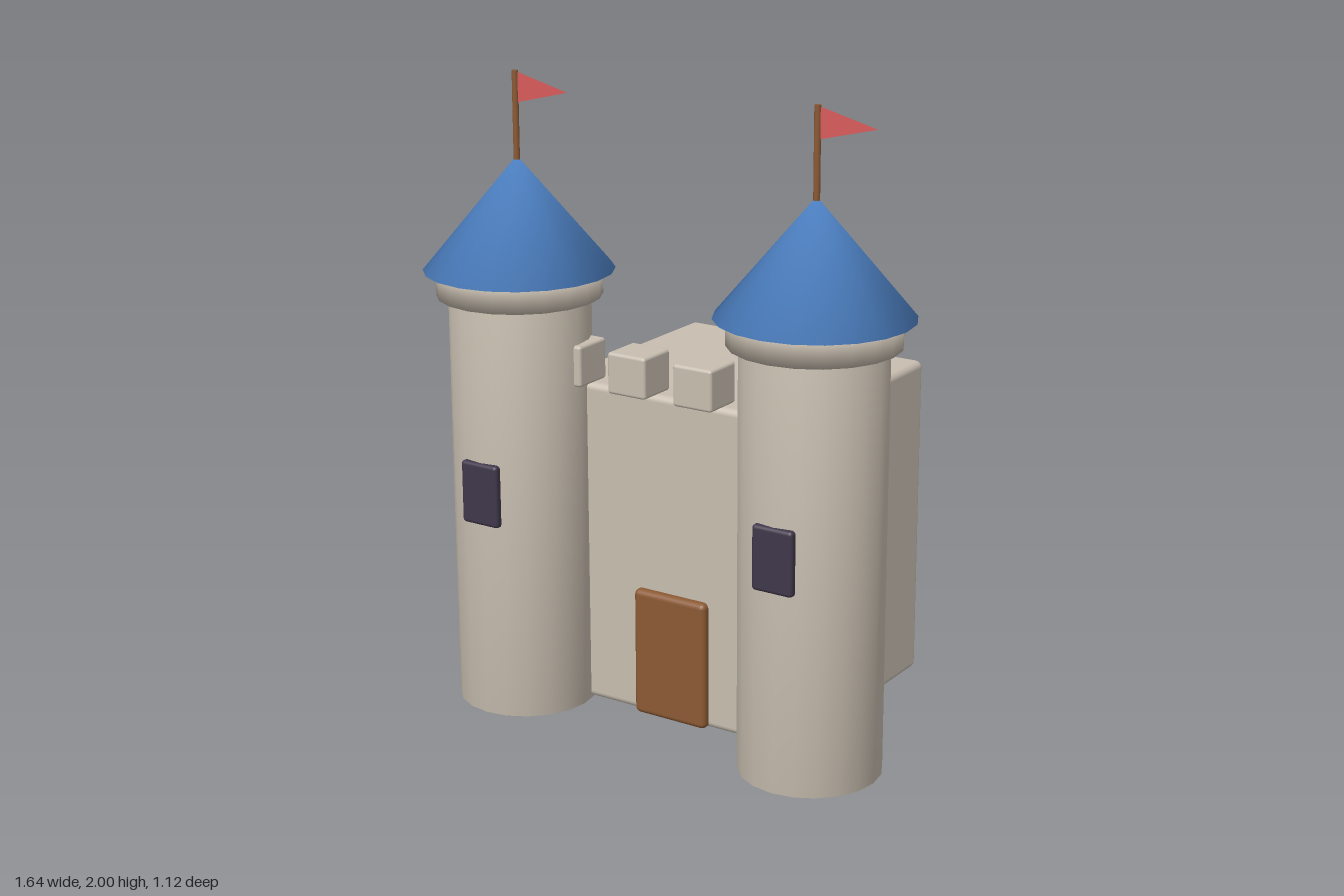
import * as THREE from 'three';
import { mergeVertices } from 'three/addons/utils/BufferGeometryUtils.js';
import { RoundedBoxGeometry } from 'three/addons/geometries/RoundedBoxGeometry.js';

const material = (name, color, extra = {}) => {
  const m = new THREE.MeshStandardMaterial({ color, ...extra });
  m.name = name;
  return m;
};

// Welds the rims so shading runs softly from the sides into the caps
function soften(geometry) {
  geometry.deleteAttribute('normal');
  geometry.deleteAttribute('uv');
  const welded = mergeVertices(geometry, 1e-4);
  welded.computeVertexNormals();
  return welded;
}

export function createModel() {
  const castle = new THREE.Group();
  castle.name = 'castle';
  const stone = material('stone', 0xc8beb0);
  const roofBlue = material('roof blue', 0x4f84c8);
  const wood = material('wood', 0x8b5a34);
  const glass = material('dark window', 0x40374a);
  const red = material('flag red', 0xd95b5b, { side: THREE.DoubleSide });

  function add(parent, name, geometry, mat, x, y, z) {
    const mesh = new THREE.Mesh(geometry, mat);
    mesh.name = name;
    mesh.position.set(x, y, z);
    parent.add(mesh);
    return mesh;
  }
  const block = (w, h, d, r) => new RoundedBoxGeometry(w, h, d, 3, r);
  const drum = (top, bottom, h) => soften(new THREE.CylinderGeometry(top, bottom, h, 20));

  // Keep and door
  add(castle, 'keep', block(0.872, 1.046, 0.78, 0.022), stone, 0, 0.527, -0.175);
  add(castle, 'door', block(0.262, 0.414, 0.06, 0.018), wood, 0, 0.212, 0.211);

  // Battlements along the front wall
  for (const x of [-0.354, -0.118, 0.118, 0.354]) {
    add(castle, 'merlon', block(0.137, 0.13, 0.137, 0.01), stone, x, 1.118, 0.218);
  }

  // Pennant outline, measured from the pole
  const pennant = new THREE.Shape([
    new THREE.Vector2(0, -0.048),
    new THREE.Vector2(0.192, 0),
    new THREE.Vector2(0, 0.048),
  ]);

  // Twin towers; both flags fly the same way
  for (const [side, x] of [['right', -0.525], ['left', 0.525]]) {
    const tower = new THREE.Group();
    tower.name = side + 'Tower';
    tower.position.set(x, 0, 0.265);
    castle.add(tower);

    add(tower, 'shaft', drum(0.219, 0.219, 1.32), stone, 0, 0.66, 0);
    add(tower, 'collar', drum(0.255, 0.255, 0.085), stone, 0, 1.355, 0);
    add(tower, 'roof', soften(new THREE.ConeGeometry(0.294, 0.35, 20)), roofBlue, 0, 1.567, 0);
    add(tower, 'window', block(0.136, 0.2, 0.035, 0.012), glass, 0, 0.726, 0.212);
    add(tower, 'flagPole', new THREE.CylinderGeometry(0.01, 0.01, 0.28, 10), wood, 0, 1.86, 0);
    add(tower, 'flag', new THREE.ShapeGeometry(pennant), red, 0, 1.95, 0);
  }
  return castle;
}
